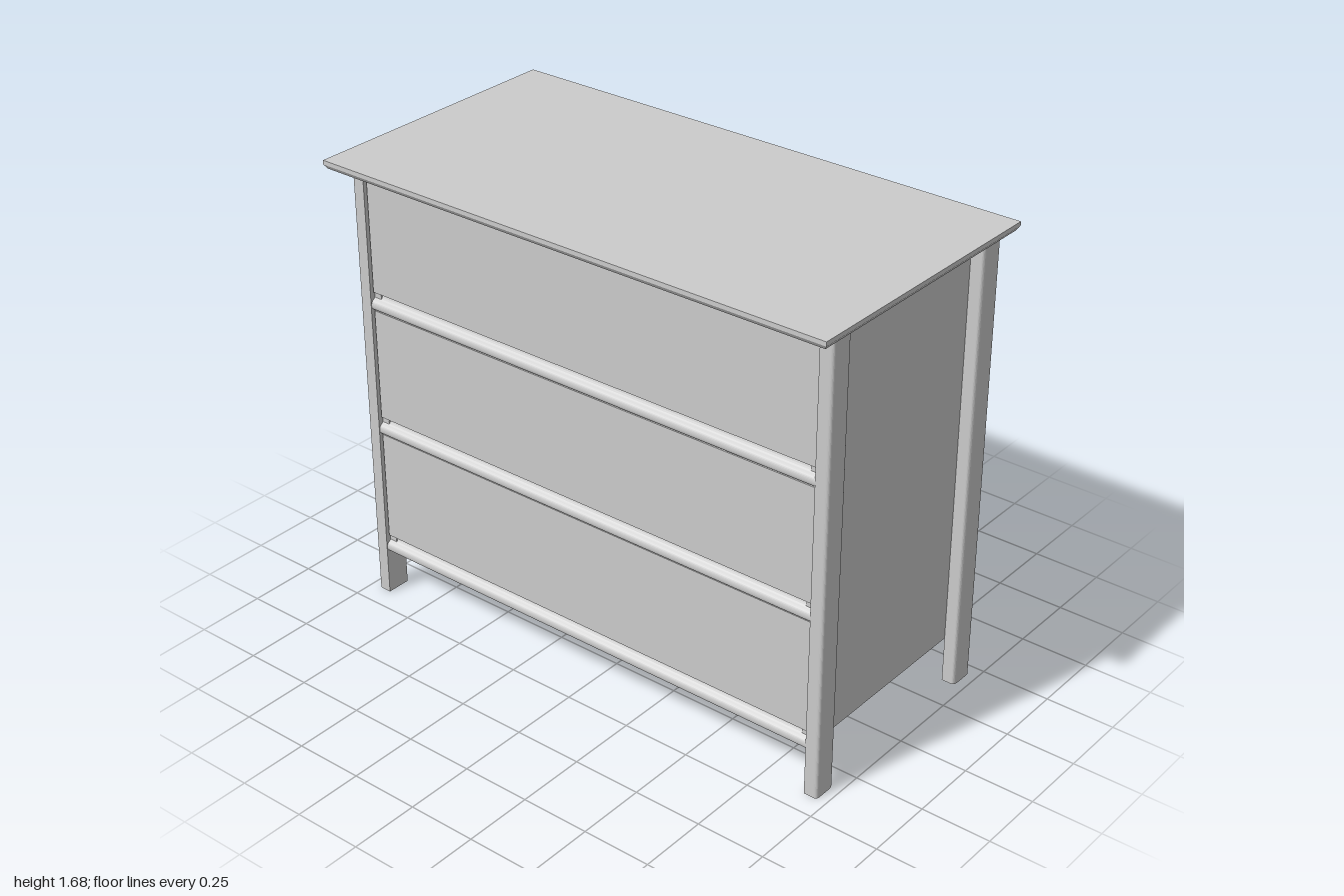
import * as THREE from 'three';

const material = new THREE.MeshStandardMaterial({ color: 0xcccccc, side: THREE.DoubleSide });

function add(group, name, geometry, x = 0, y = 0, z = 0) {
  const mesh = new THREE.Mesh(geometry, material);
  mesh.name = name;
  mesh.position.set(x, y, z);
  group.add(mesh);
  return mesh;
}

// Box given by its lower and upper limits
function box(group, name, [x0, y0, z0], [x1, y1, z1]) {
  return add(group, name, new THREE.BoxGeometry(x1 - x0, y1 - y0, z1 - z0),
    (x0 + x1) / 2, (y0 + y1) / 2, (z0 + z1) / 2);
}

// Leg section: flat against the carcass, outer corners rounded.
// inner = radius toward the middle of the side, outer = radius at the cabinet corner.
function legGeometry(side, end) {
  const w = 0.05, d = 0.09, inner = 0.03, outer = 0.014;
  const s = new THREE.Shape();
  const p = (x, z) => [side * x, -end * z];
  s.moveTo(...p(0, 0));
  s.lineTo(...p(w - 0.012, 0));
  s.quadraticCurveTo(...p(w, 0), ...p(w, inner));
  s.lineTo(...p(w, d - outer));
  s.quadraticCurveTo(...p(w, d), ...p(w - outer, d));
  s.lineTo(...p(0, d));
  s.closePath();
  const g = new THREE.ExtrudeGeometry(s, { depth: 1.65, bevelEnabled: false, curveSegments: 6 });
  return g.rotateX(-Math.PI / 2);
}

// Rail section in (z, y), extruded across the front
function railGeometry(length) {
  const s = new THREE.Shape();
  s.moveTo(-0.04, 0);
  s.lineTo(0.005, 0);
  s.quadraticCurveTo(0.018, 0.002, 0.018, 0.016);
  s.quadraticCurveTo(0.018, 0.03, 0.008, 0.036);
  s.quadraticCurveTo(-0.008, 0.044, -0.01, 0.07);
  s.lineTo(-0.04, 0.07);
  s.closePath();
  const g = new THREE.ExtrudeGeometry(s, { depth: length, bevelEnabled: false, curveSegments: 6 });
  return g.translate(0, 0, -length / 2).rotateY(-Math.PI / 2);
}

export function createModel() {
  const model = new THREE.Group();
  model.name = 'chestOfDrawers';
  const halfW = 0.915;

  // Carcass
  const carcass = new THREE.Group();
  carcass.name = 'carcass';
  model.add(carcass);
  for (const s of [-1, 1]) {
    const a = s * halfW, b = s * (halfW - 0.03);
    box(carcass, 'sidePanel', [Math.min(a, b), 0.17, -0.44], [Math.max(a, b), 1.65, 0.4]);
  }
  box(carcass, 'backPanel', [-halfW, 0.17, -0.445], [halfW, 1.65, -0.425]);
  box(carcass, 'bottomPanel', [-halfW, 0.17, -0.44], [halfW, 0.195, 0.39]);

  // Drawers, each above a moulded rail
  for (const y of [0.17, 0.648, 1.127]) {
    const rail = add(model, 'frontRail', railGeometry(2 * halfW), 0, y, 0.4);
    rail.geometry.scale(-1, 1, 1);
    // restore the winding after mirroring
    const pos = rail.geometry.attributes.position;
    for (let i = 0; i < pos.count; i += 3) {
      const a = new THREE.Vector3().fromBufferAttribute(pos, i + 1);
      const b = new THREE.Vector3().fromBufferAttribute(pos, i + 2);
      pos.setXYZ(i + 1, b.x, b.y, b.z);
      pos.setXYZ(i + 2, a.x, a.y, a.z);
    }
    // the section's forward axis must end on +z
    rail.geometry.computeBoundingBox();
    if (rail.geometry.boundingBox.max.z < 0.03) rail.geometry.rotateY(0);
    if (rail.geometry.boundingBox.min.z > -0.03) rail.geometry.rotateY(Math.PI);
    rail.geometry.computeVertexNormals();
    box(model, 'drawerFront', [-halfW + 0.005, y + 0.066, 0.385], [halfW - 0.005, y + 0.476, 0.41]);
  }
  box(model, 'topRail', [-halfW, 1.605, 0.37], [halfW, 1.635, 0.405]);

  // Corner legs
  for (const side of [-1, 1]) {
    for (const end of [-1, 1]) {
      add(model, end > 0 ? 'frontLeg' : 'backLeg', legGeometry(side, end),
        side * halfW, 0, end > 0 ? 0.33 : -0.37);
    }
  }

  // Table top with a chamfered underside
  const top = new THREE.BoxGeometry(2, 0.03, 1.02, 1, 2, 1);
  const p = top.attributes.position;
  for (let i = 0; i < p.count; i++) {
    if (p.getY(i) < -0.01) {
      p.setX(i, p.getX(i) - Math.sign(p.getX(i)) * 0.01);
      p.setZ(i, p.getZ(i) - Math.sign(p.getZ(i)) * 0.01);
    }
  }
  const flatTop = top.toNonIndexed();
  flatTop.computeVertexNormals();
  add(model, 'top', flatTop, 0, 1.665, 0);

  return model;
}
